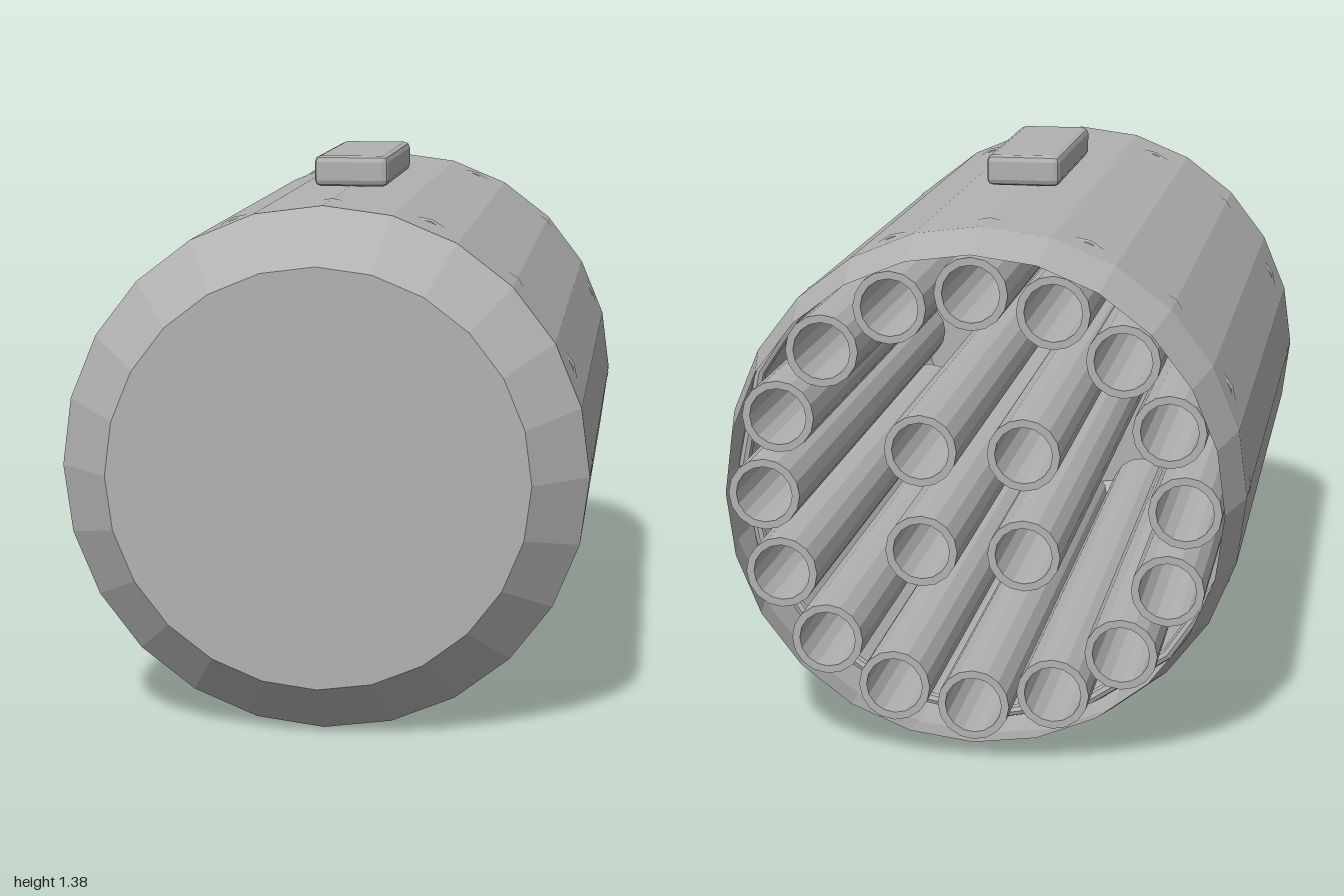
import * as THREE from 'three';
import { RoundedBoxGeometry } from 'three/addons/geometries/RoundedBoxGeometry.js';

const CENTER_Y = 0.652;

export function createModel() {
  const model = new THREE.Group();
  model.name = 'tubePod';

  const grey = new THREE.MeshStandardMaterial({ color: 0xb2b2b2, flatShading: true, side: THREE.DoubleSide });
  grey.name = 'grey metal';

  const add = (parent, name, geometry, x = 0, y = 0, z = 0) => {
    const mesh = new THREE.Mesh(geometry, grey);
    mesh.name = name;
    mesh.position.set(x, y, z);
    parent.add(mesh);
    return mesh;
  };

  // Revolves [radius, z] pairs around the z axis
  const turned = (profile, sides) =>
    new THREE.LatheGeometry(profile.map(([r, z]) => new THREE.Vector2(r, z)), sides).rotateX(Math.PI / 2);

  const pod = new THREE.Group();
  pod.name = 'pod';
  pod.position.y = CENTER_Y;
  model.add(pod);

  // Shell: closed, chamfered nose and an open, slightly tapered rear
  add(pod, 'shell', turned([[0.61, -1], [0.65, -0.84], [0.65, 0.87], [0.517, 1], [0, 1]], 24));

  // Retaining bands whose corners just break through the shell
  for (const z of [0.7, -0.73]) {
    add(pod, 'band', new THREE.TorusGeometry(0.637, 0.015, 8, 16), 0, 0, z);
  }

  // Open tubes: an outer ring of sixteen and an inner square of four
  const tube = turned([[0.07, 0.85], [0.07, -0.995], [0.089, -0.995], [0.089, 0.85], [0.07, 0.85]], 16);
  const tubeRing = (name, count, radius, start) => {
    for (let i = 0; i < count; i++) {
      const a = start + (i / count) * Math.PI * 2;
      add(pod, name, tube, radius * Math.cos(a), radius * Math.sin(a));
    }
  };
  tubeRing('outerTube', 16, 0.515, 0);
  tubeRing('innerTube', 4, 0.178, Math.PI / 4);

  // Mounting lug on top
  add(model, 'mountingLug', new RoundedBoxGeometry(0.194, 0.08, 0.57, 1, 0.016), 0, 1.34, 0.045);

  return model;
}
